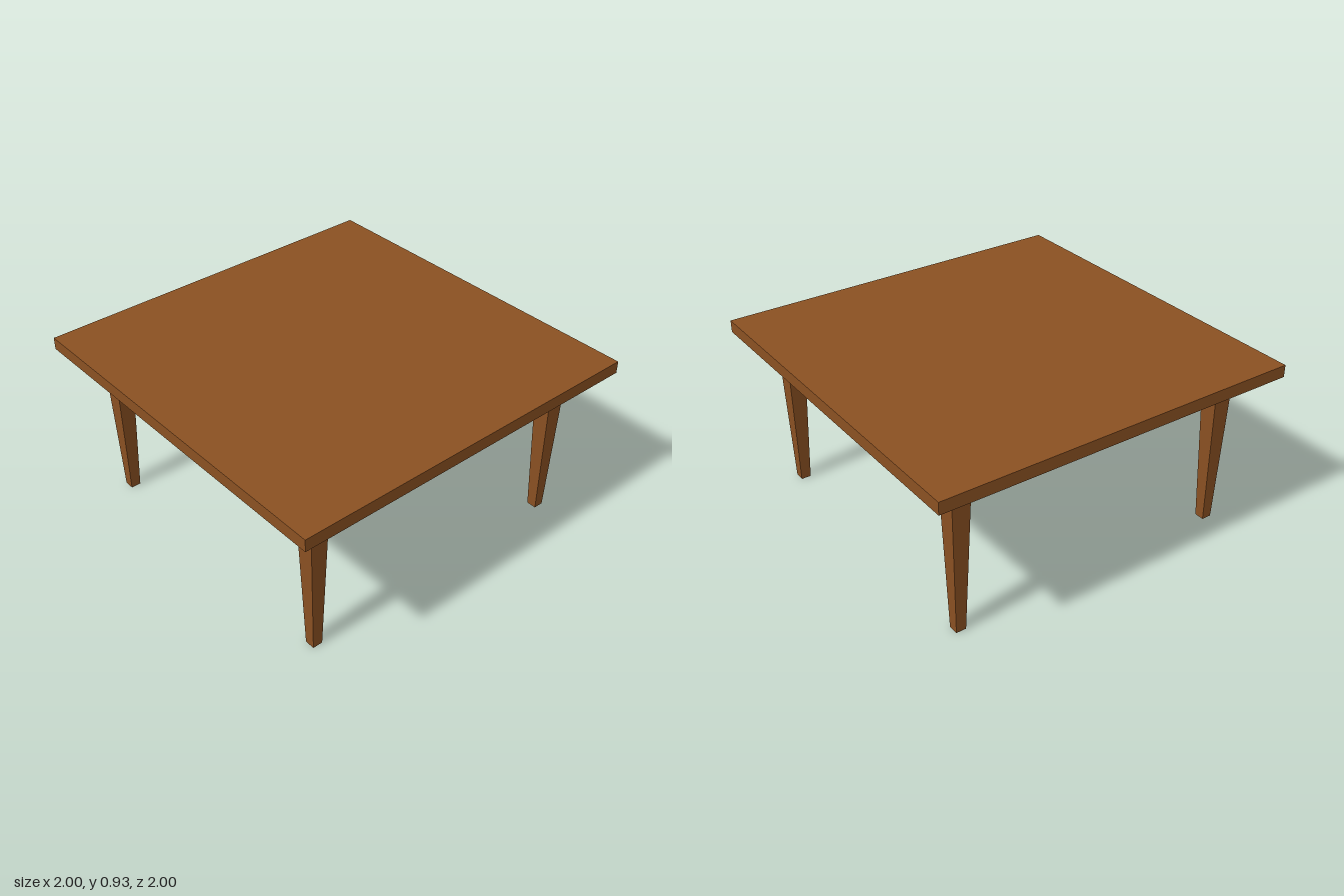
import * as THREE from 'three';

const TOP = 0.932, UNDERSIDE = 0.866;
const LEG_INSET = 0.777, LEG_TOP = 0.107, LEG_FOOT = 0.054;

// Square leg, narrowing evenly towards the floor
function taperedLeg() {
  const geometry = new THREE.BoxGeometry(LEG_TOP, UNDERSIDE, LEG_TOP);
  geometry.translate(0, UNDERSIDE / 2, 0);
  const p = geometry.attributes.position;
  for (let i = 0; i < p.count; i++) {
    if (p.getY(i) > 0.01) continue;
    const s = LEG_FOOT / LEG_TOP;
    p.setXYZ(i, p.getX(i) * s, 0, p.getZ(i) * s);
  }
  geometry.computeVertexNormals();
  return geometry;
}

export function createModel() {
  const table = new THREE.Group();
  table.name = 'table';
  const wood = new THREE.MeshStandardMaterial({ color: 0x8b5122 });
  wood.name = 'brown wood';

  // Square slab
  const top = new THREE.Mesh(new THREE.BoxGeometry(2, TOP - UNDERSIDE, 2), wood);
  top.name = 'tableTop';
  top.position.y = (TOP + UNDERSIDE) / 2;
  table.add(top);

  // Four legs, mirrored about both axes
  const legGeometry = taperedLeg();
  for (const x of [-1, 1]) {
    for (const z of [-1, 1]) {
      const leg = new THREE.Mesh(legGeometry, wood);
      leg.name = (z > 0 ? 'front' : 'back') + (x > 0 ? 'Left' : 'Right') + 'Leg';
      leg.position.set(x * LEG_INSET, 0, z * LEG_INSET);
      table.add(leg);
    }
  }
  return table;
}
